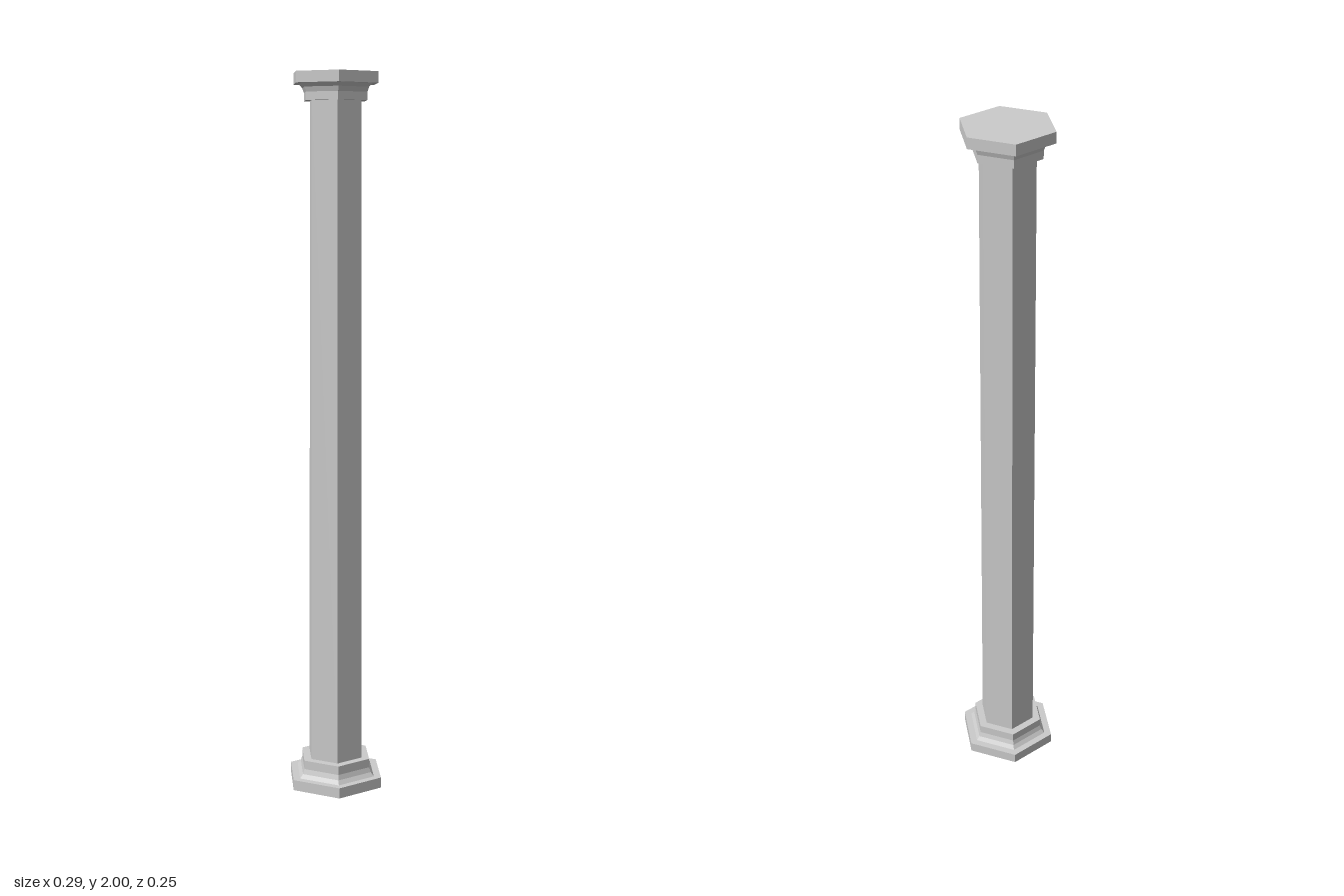
import * as THREE from 'three';

const material = new THREE.MeshStandardMaterial({ color: 0xcccccc, flatShading: true });

// Hexagonal solid from a [radius, height] profile, bottom to top, with corners on the x axis
function hexPart(name, profile) {
  const points = profile.map(([r, y]) => new THREE.Vector2(r, y));
  const mesh = new THREE.Mesh(new THREE.LatheGeometry(points, 6, Math.PI / 2), material);
  mesh.name = name;
  return mesh;
}

export function createModel() {
  const column = new THREE.Group();
  column.name = 'column';

  // Plinth, concave flare and upper band
  column.add(hexPart('base', [
    [0, 0], [0.144, 0], [0.144, 0.03], [0.122, 0.03],
    [0.112, 0.041], [0.107, 0.055], [0.107, 0.08], [0, 0.08],
  ]));

  // Slightly tapered shaft
  column.add(hexPart('shaft', [[0.083, 0.08], [0.077, 1.925]]));

  // Neck band, concave flare and top slab
  column.add(hexPart('capital', [
    [0, 1.925], [0.095, 1.925], [0.095, 1.947], [0.1, 1.96],
    [0.11, 1.97], [0.127, 1.97], [0.127, 2], [0, 2],
  ]));

  return column;
}
